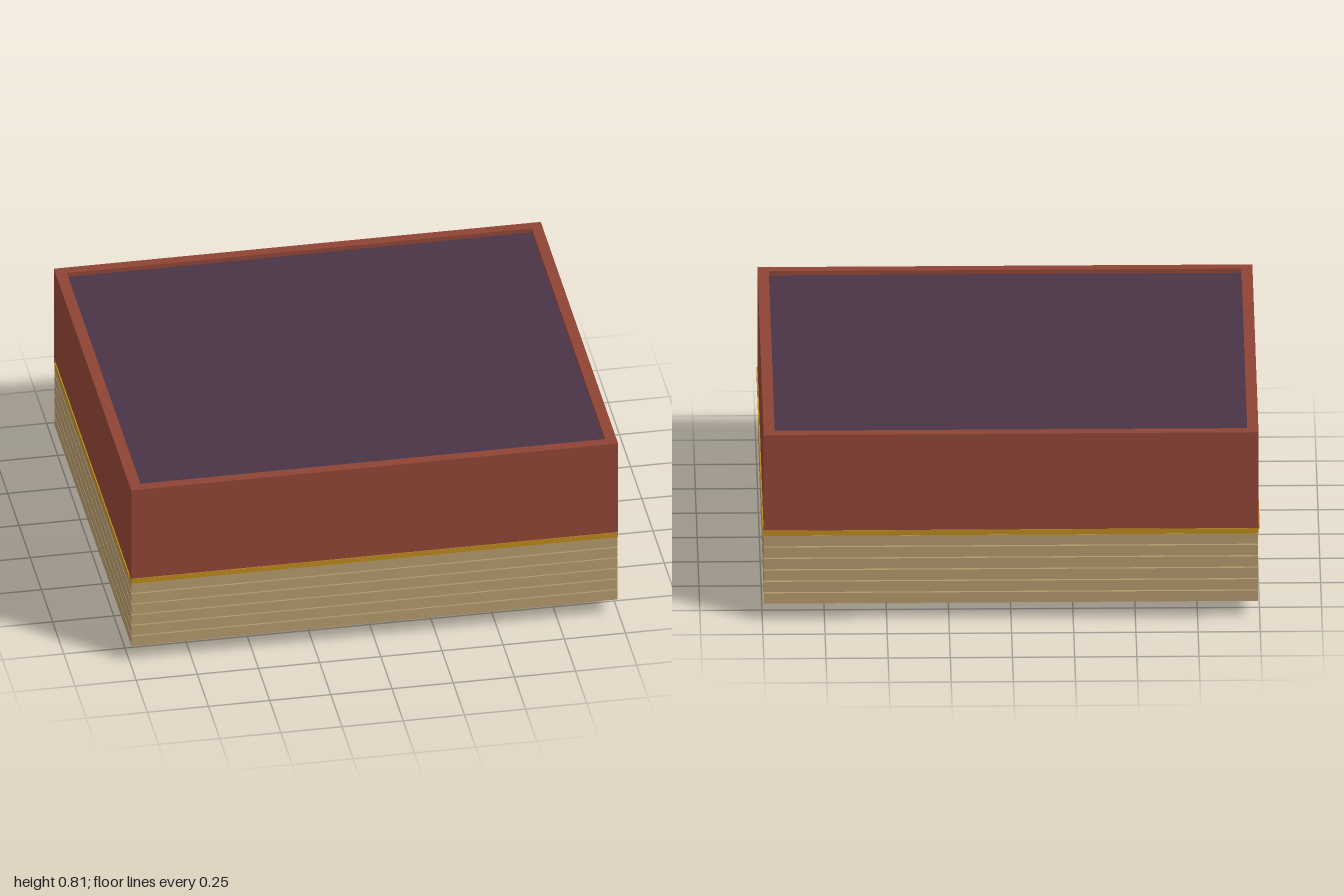
import * as THREE from 'three';

const material = (color) => new THREE.MeshStandardMaterial({ color });
const RED = material(0x8e4435), PURPLE = material(0x4a3446), TAN = material(0xb0966a);
const GOLD = material(0xb8861c), TEAL = material(0x14463f), OLIVE = material(0x3f4a3a);
const BROWN = material(0x4a3018), DARK = material(0x24242c), BLUE = material(0x2c4a8c);
const SCARLET = material(0xa03028), SILVER = material(0xa8a090);

function add(parent, name, geometry, mat, x, y, z) {
  const mesh = new THREE.Mesh(geometry, mat);
  mesh.name = name;
  mesh.position.set(x, y, z);
  parent.add(mesh);
  return mesh;
}

const box = (parent, name, mat, w, h, d, x, y, z) =>
  add(parent, name, new THREE.BoxGeometry(w, h, d), mat, x, y, z);

// Rectangular ring standing on y, with an opening of ix by iz half sizes
function frame(parent, name, mat, hx, hz, ix, iz, height, y) {
  const shape = new THREE.Shape();
  shape.moveTo(-hx, -hz).lineTo(hx, -hz).lineTo(hx, hz).lineTo(-hx, hz).closePath();
  const hole = new THREE.Path();
  hole.moveTo(-ix, -iz).lineTo(-ix, iz).lineTo(ix, iz).lineTo(ix, -iz).closePath();
  shape.holes.push(hole);
  const geometry = new THREE.ExtrudeGeometry(shape, { depth: height, bevelEnabled: false });
  geometry.rotateX(-Math.PI / 2);
  return add(parent, name, geometry, mat, 0, y, 0);
}

export function createModel() {
  const model = new THREE.Group();
  model.name = 'layeredBox';

  // Upper block: red walls around a slightly sunken panel
  frame(model, 'upperWalls', RED, 0.995, 0.863, 0.95, 0.82, 0.418, 0.395);
  box(model, 'topPanel', PURPLE, 1.9, 0.4, 1.64, 0, 0.595, 0);

  // Gold trim strips under the red walls
  for (const s of [-1, 1]) {
    box(model, 'sideTrim', GOLD, 0.05, 0.022, 1.64, s * 0.975, 0.384, 0);
    box(model, 'endTrim', GOLD, 1.99, 0.022, 0.05, 0, 0.384, s * 0.841);
  }

  // Six stacked trays with narrow gaps, each holding a board and two flat chips
  for (let i = 0; i < 6; i++) {
    const y = 0.075 + i * 0.05;
    const tray = new THREE.Group();
    tray.name = 'tray' + (i + 1);
    tray.position.y = y;
    model.add(tray);
    frame(tray, 'trayRim', TAN, 0.993, 0.86, 0.95, 0.82, 0.045, 0);
    box(tray, 'board', TEAL, 1.9, 0.03, 1.64, 0, 0.027, 0);
    for (const s of [-1, 1]) box(tray, 'flatChip', BROWN, 0.27, 0.014, 0.64, s * 0.58, 0.006, -0.03);
  }

  // Parts hanging from the lowest board, whose underside is at y = 0.087
  const parts = new THREE.Group();
  parts.name = 'undersideParts';
  model.add(parts);
  box(parts, 'mainBlock', OLIVE, 0.45, 0.088, 0.455, -0.005, 0.044, -0.018);
  box(parts, 'mainBlockBase', TEAL, 0.62, 0.016, 0.62, -0.005, 0.081, -0.018);

  // Long slotted connector near the back edge
  box(parts, 'connectorBase', DARK, 0.84, 0.01, 0.16, 0.01, 0.083, -0.65);
  for (const z of [-0.7, -0.65, -0.6]) box(parts, 'connectorRail', BROWN, 0.82, 0.016, 0.026, 0.01, 0.078, z);

  // Gold canister with round dark feet
  const canister = add(parts, 'canister', new THREE.CylinderGeometry(0.045, 0.045, 0.22, 16), GOLD, 0.68, 0.082, -0.605);
  canister.rotation.z = Math.PI / 2;
  box(parts, 'canisterBridge', GOLD, 0.1, 0.035, 0.13, 0.59, 0.057, -0.605);
  for (const z of [-0.54, -0.67]) {
    add(parts, 'canisterFoot', new THREE.SphereGeometry(0.027, 16, 12), DARK, 0.59, 0.049, z);
    add(parts, 'canisterEnd', new THREE.SphereGeometry(0.025, 16, 12), DARK, 0.78, 0.08, z);
  }

  // Blue strip at the front edge
  box(parts, 'edgeStrip', BLUE, 0.38, 0.014, 0.03, 0, 0.081, 0.795);

  // Small blocks and rings in rows along both sides
  const blocks = [[0.89, -0.15], [0.88, 0.18], [0.9, 0.4], [-0.83, -0.4], [-0.83, -0.11],
    [-0.84, 0.21], [-0.88, 0.43], [-0.45, -0.54], [0.58, -0.43]];
  blocks.forEach(([x, z], i) =>
    box(parts, 'smallBlock', i % 2 ? BROWN : SILVER, 0.055, 0.018, 0.07, x, 0.081, z));
  const rings = [[0.88, 0.02], [0.34, 0.255], [-0.83, -0.25], [-0.84, 0.07]];
  for (const [x, z] of rings) {
    const ring = add(parts, 'smallRing', new THREE.TorusGeometry(0.026, 0.01, 8, 20), DARK, x, 0.082, z);
    ring.rotation.x = Math.PI / 2;
  }

  // Paired red and blue beads, and gold studs
  for (const [x, z] of [[0.82, 0.56], [-0.325, -0.39]]) {
    add(parts, 'redBead', new THREE.SphereGeometry(0.026, 14, 10), SCARLET, x, 0.087, z - 0.02);
    add(parts, 'blueBead', new THREE.SphereGeometry(0.026, 14, 10), BLUE, x - 0.02, 0.087, z + 0.025);
  }
  for (const [x, z] of [[0.355, 0.38], [-0.8, 0.6]])
    add(parts, 'goldStud', new THREE.SphereGeometry(0.026, 14, 10), GOLD, x, 0.087, z);

  return model;
}
